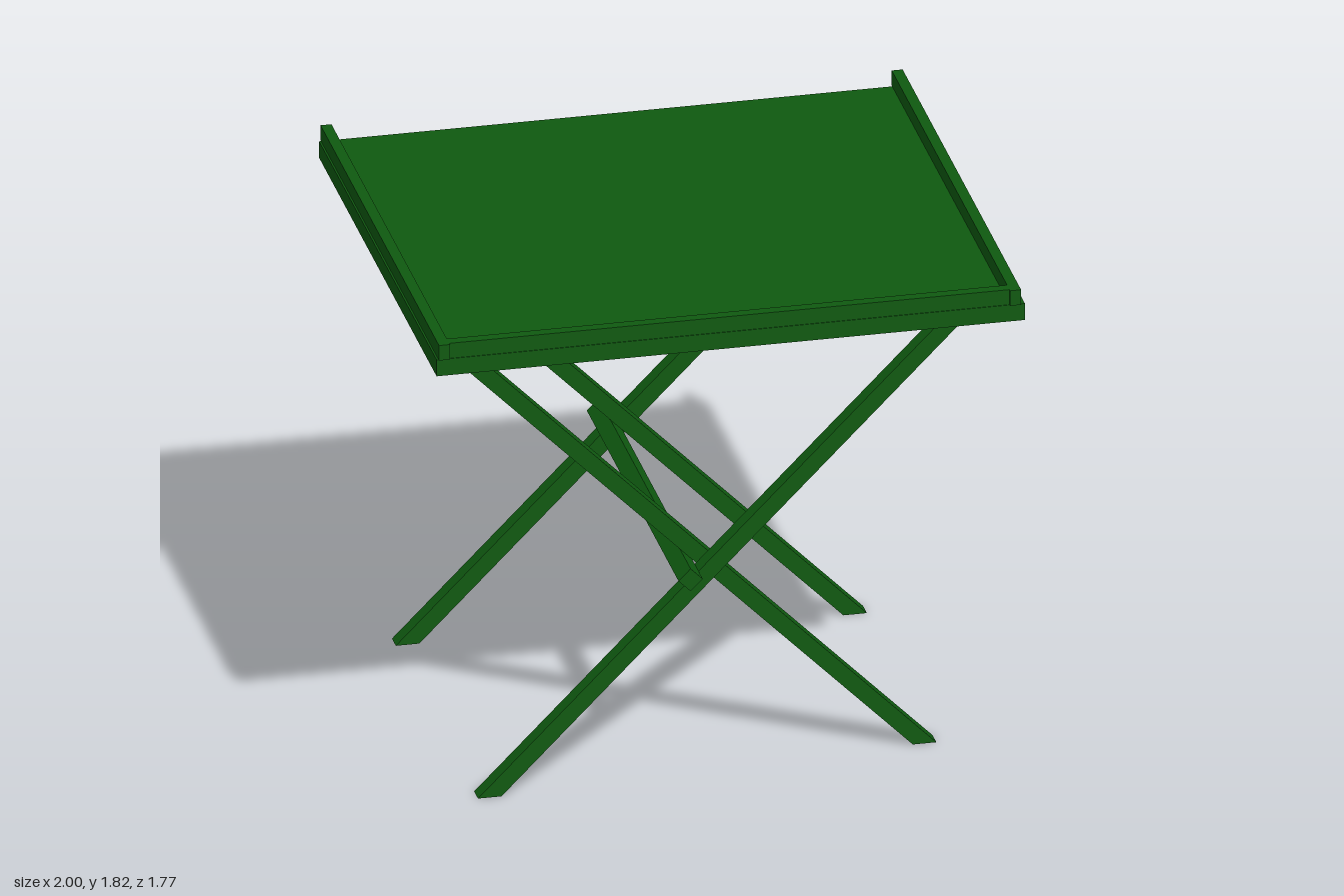
import * as THREE from 'three';

export function createModel() {
  const group = new THREE.Group();
  const material = new THREE.MeshStandardMaterial({ color: 0x0f5a10 });

  function add(name, geometry, x, y, z) {
    const mesh = new THREE.Mesh(geometry, material);
    mesh.name = name;
    mesh.position.set(x, y, z);
    group.add(mesh);
    return mesh;
  }

  // Tray top: flat slab, two side rails and a front rail; the back stays open
  add('tabletop', new THREE.BoxGeometry(2, 0.06, 1.76), 0, 1.735, 0);
  const sideRail = new THREE.BoxGeometry(0.037, 0.055, 1.774);
  add('rightRail', sideRail, -0.975, 1.7925, 0);
  add('leftRail', sideRail, 0.967, 1.7925, 0);
  add('frontRail', new THREE.BoxGeometry(1.906, 0.055, 0.037), -0.0035, 1.7925, 0.859);

  // Crossed legs: slanted bars with level cut ends, side = direction of the lean
  const height = 1.705, half = 0.04, depth = 0.058, foot = 0.75, head = 0.945;
  function legGeometry(side) {
    const shape = new THREE.Shape([
      [-foot - half, 0], [-foot + half, 0], [head + half, height], [head - half, height],
    ].map(([x, y]) => new THREE.Vector2(side * x, y)));
    const geometry = new THREE.ExtrudeGeometry(shape, { depth, bevelEnabled: false });
    return geometry.translate(0, 0, -depth / 2);
  }
  const outerLeg = legGeometry(1);
  const innerLeg = legGeometry(-1);
  add('frontOuterLeg', outerLeg, 0, 0, 0.545);
  add('backOuterLeg', outerLeg, 0, 0, -0.685);
  add('frontInnerLeg', innerLeg, 0, 0, 0.45);
  add('backInnerLeg', innerLeg, 0, 0, -0.59);

  // Square stop bar resting in the crook of the crossing
  const bar = add('crossBar', new THREE.BoxGeometry(0.058, 0.058, 1.375), -0.081, 0.754, -0.052);
  bar.rotation.z = Math.PI / 4;

  return group;
}
